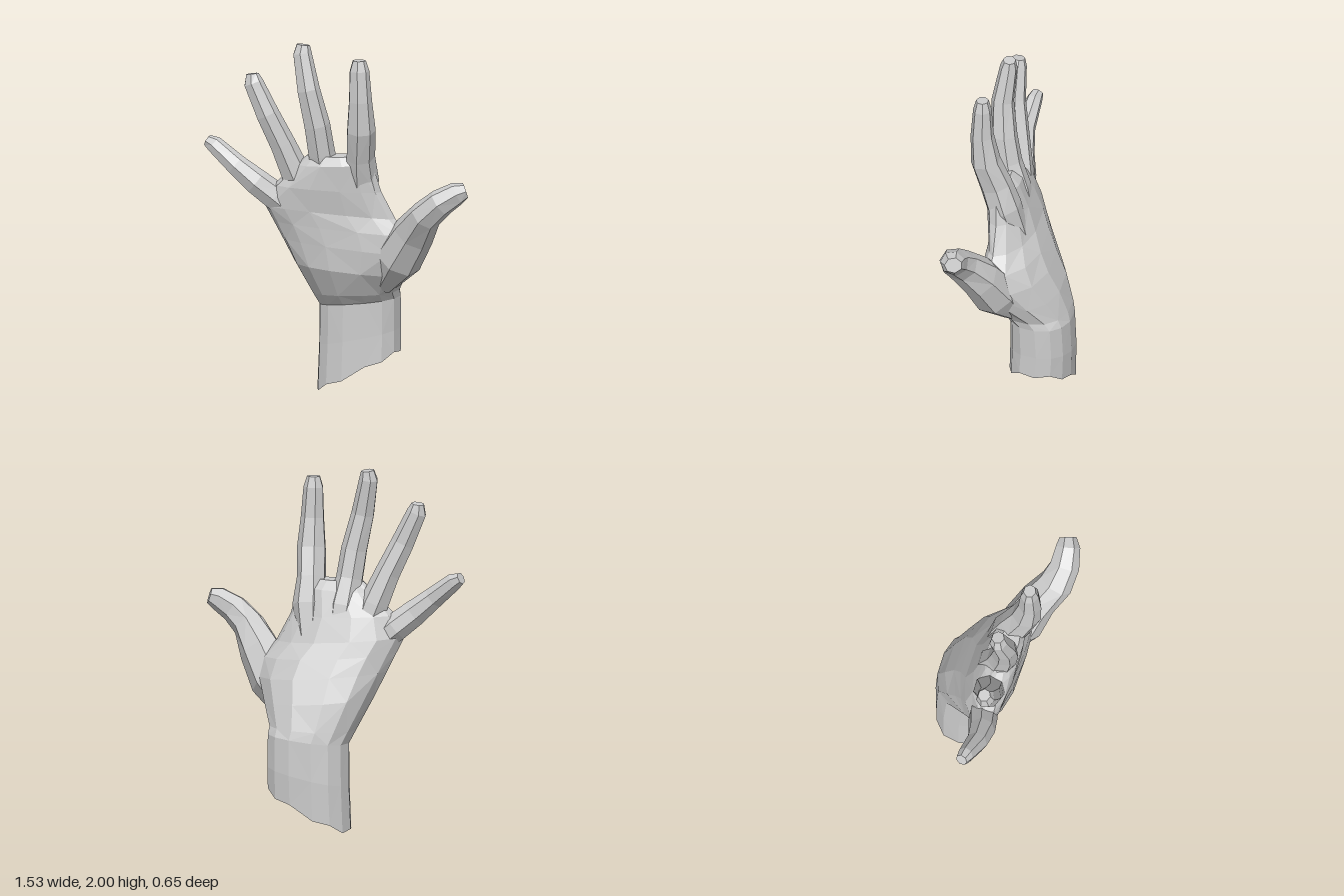
import * as THREE from 'three';

const skin = new THREE.MeshStandardMaterial({
  color: 0xcccccc, flatShading: true, side: THREE.DoubleSide,
});

// Skin a list of equal-length rings (Vector3 loops), optionally closing the last one.
function loft(name, rings, closeEnd) {
  const n = rings[0].length, pos = [], index = [];
  rings.forEach(r => r.forEach(p => pos.push(p.x, p.y, p.z)));
  for (let i = 0; i < rings.length - 1; i++) {
    for (let j = 0; j < n; j++) {
      const a = i * n + j, b = i * n + (j + 1) % n, c = b + n, d = a + n;
      // alternate the diagonal for a faceted, hand-cut look
      if ((i + j) % 2) index.push(a, b, c, a, c, d);
      else index.push(a, b, d, b, c, d);
    }
  }
  if (closeEnd) {
    const last = rings[rings.length - 1], base = (rings.length - 1) * n;
    const mid = last.reduce((s, p) => s.add(p), new THREE.Vector3()).divideScalar(n);
    pos.push(mid.x, mid.y, mid.z);
    for (let j = 0; j < n; j++) index.push(base + j, base + (j + 1) % n, rings.length * n);
  }
  const g = new THREE.BufferGeometry();
  g.setAttribute('position', new THREE.Float32BufferAttribute(pos, 3));
  g.setIndex(index);
  g.computeVertexNormals();
  const mesh = new THREE.Mesh(g, skin);
  mesh.name = name;
  return mesh;
}

// Hand slice: right-hand and left-hand edge points, z of the back, z of the palm side
// near each edge. A higher ridge value slopes the back more steeply to its edges.
function slice([R, L, back, frontR, frontL], ridge = 0.85, jag = 0) {
  const ring = [], n = 14;
  for (let j = 0; j < n; j++) {
    const a = j / n * Math.PI * 2, c = Math.cos(a), s = Math.sin(a);
    const k = (Math.sign(c) * Math.abs(c) ** 0.85 + 1) / 2;
    const p = new THREE.Vector3(...R).lerp(new THREE.Vector3(...L), k);
    if (s > 0) p.z += s ** ridge * (back - p.z);
    else p.z += (-s) ** 0.85 * (frontR + (frontL - frontR) * k - p.z);
    p.y += jag * (j % 2);
    ring.push(p);
  }
  return ring;
}

// Finger: stations of [x, y, z, half width, half depth] along its bones.
function finger(name, stations) {
  const pts = stations.map(s => new THREE.Vector3(s[0], s[1], s[2]));
  const sides = 7, zAxis = new THREE.Vector3(0, 0, 1);
  const rings = stations.map(([, , , w, d], i) => {
    const t = pts[Math.min(i + 1, pts.length - 1)].clone().sub(pts[Math.max(i - 1, 0)]).normalize();
    const u = t.clone().cross(zAxis).normalize(), v = t.clone().cross(u);
    return Array.from({ length: sides }, (_, j) => {
      const a = (j + 0.25) / sides * Math.PI * 2;
      return pts[i].clone().addScaledVector(u, w * Math.cos(a)).addScaledVector(v, d * Math.sin(a));
    });
  });
  return loft(name, rings, true);
}

export function createModel() {
  const hand = new THREE.Group();
  hand.name = 'hand';

  // Forearm stump, cut at a slant and open at the bottom
  const wristTop = [[-0.155, 0.5, -0.11], [0.3, 0.55, -0.14], -0.312, 0.035, 0.035];
  hand.add(loft('wrist', [
    slice([[-0.17, 0.0, -0.13], [0.3, 0.235, -0.14], -0.315, 0.04, 0.04], 0.85, 0.02),
    slice([[-0.16, 0.27, -0.13], [0.3, 0.37, -0.15], -0.32, 0.035, 0.035]),
    slice(wristTop),
  ], false));

  // Palm, leaning forward, its back ridge flattening towards the finger webs
  hand.add(loft('palm', [
    wristTop,
    [[-0.185, 0.57, -0.07], [0.3, 0.59, -0.11], -0.3, 0.08, 0.085],
    [[-0.27, 0.75, 0.0], [0.36, 0.7, -0.01], -0.255, 0.15, 0.16],
    [[-0.335, 0.89, 0.03], [0.42, 0.83, 0.08], -0.195, 0.145, 0.185],
    [[-0.38, 0.99, 0.06], [0.4, 0.94, 0.1], -0.145, 0.15, 0.175],
    [[-0.42, 1.08, 0.09], [0.32, 1.03, 0.09], -0.1, 0.165, 0.15],
    [[-0.37, 1.2, 0.08], [0.24, 1.18, 0.09], -0.05, 0.185, 0.175],
    [[-0.24, 1.32, 0.09], [0.19, 1.34, 0.1], 0.0, 0.185, 0.19],
    [[-0.18, 1.375, 0.1], [0.13, 1.385, 0.11], 0.055, 0.165, 0.165],
  ].map((s, i) => slice(s, 0.85 + 0.12 * Math.min(i, 3))), true));

  hand.add(finger('thumb', [
    [0.23, 0.64, 0.0, 0.07, 0.07],
    [0.33, 0.8, 0.075, 0.135, 0.125],
    [0.43, 0.96, 0.14, 0.12, 0.11],
    [0.52, 1.085, 0.22, 0.09, 0.1],
    [0.61, 1.165, 0.245, 0.08, 0.085],
    [0.7, 1.22, 0.235, 0.066, 0.07],
    [0.745, 1.235, 0.22, 0.045, 0.05],
  ]));
  hand.add(finger('indexFinger', [
    [0.1, 1.05, 0.02, 0.07, 0.09],
    [0.12, 1.24, 0.07, 0.1, 0.1],
    [0.125, 1.38, 0.115, 0.082, 0.095],
    [0.14, 1.54, 0.17, 0.083, 0.085],
    [0.14, 1.71, 0.19, 0.067, 0.066],
    [0.135, 1.88, 0.19, 0.057, 0.052],
    [0.135, 1.94, 0.19, 0.038, 0.035],
  ]));
  hand.add(finger('middleFinger', [
    [-0.06, 1.05, 0.01, 0.07, 0.09],
    [-0.08, 1.24, 0.06, 0.09, 0.1],
    [-0.1, 1.39, 0.1, 0.077, 0.085],
    [-0.12, 1.55, 0.125, 0.075, 0.078],
    [-0.165, 1.75, 0.14, 0.066, 0.064],
    [-0.205, 1.95, 0.115, 0.054, 0.05],
    [-0.2, 2.0, 0.11, 0.038, 0.036],
  ]));
  hand.add(finger('ringFinger', [
    [-0.17, 1.02, 0.03, 0.07, 0.08],
    [-0.25, 1.26, 0.075, 0.085, 0.09],
    [-0.32, 1.43, 0.1, 0.073, 0.078],
    [-0.4, 1.6, 0.125, 0.067, 0.065],
    [-0.48, 1.775, 0.125, 0.057, 0.052],
    [-0.487, 1.825, 0.12, 0.036, 0.036],
  ]));
  hand.add(finger('littleFinger', [
    [-0.22, 1.0, 0.05, 0.07, 0.07],
    [-0.37, 1.13, 0.075, 0.08, 0.082],
    [-0.47, 1.21, 0.1, 0.075, 0.075],
    [-0.58, 1.3, 0.105, 0.062, 0.06],
    [-0.71, 1.405, 0.08, 0.05, 0.045],
    [-0.75, 1.425, 0.07, 0.034, 0.034],
  ]));

  return hand;
}
